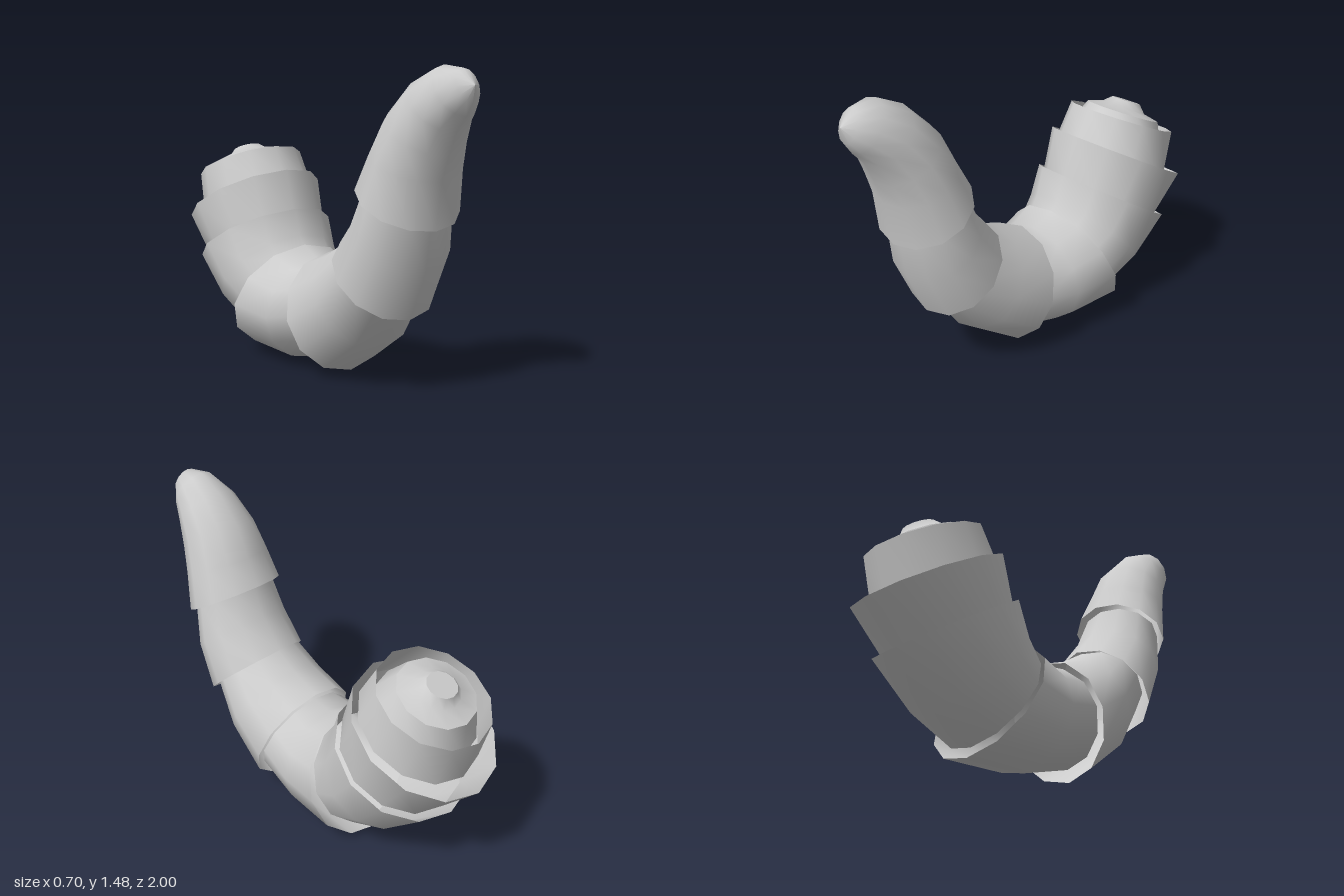
import * as THREE from 'three';

const SIDES = 12;

// Smooth skin through elliptical rings. Each ring is
// [outer z, outer y, inner z, inner y, half width], ordered from tail to head.
function loft(name, rings) {
  const pos = [], index = [];
  for (const [oz, oy, iz, iy, w] of rings) {
    for (let j = 0; j < SIDES; j++) {
      const t = (j / SIDES) * Math.PI * 2, c = Math.cos(t) / 2;
      pos.push(w * Math.sin(t), (oy + iy) / 2 + (oy - iy) * c, (oz + iz) / 2 + (oz - iz) * c);
    }
  }
  for (let i = 0; i < rings.length - 1; i++) {
    for (let j = 0; j < SIDES; j++) {
      const k = (j + 1) % SIDES;
      const a = i * SIDES + j, b = i * SIDES + k;
      index.push(a, b, a + SIDES, b, b + SIDES, a + SIDES);
    }
  }
  const geo = new THREE.BufferGeometry();
  geo.setAttribute('position', new THREE.Float32BufferAttribute(pos, 3));
  geo.setIndex(index);
  geo.computeVertexNormals();
  const mesh = new THREE.Mesh(geo, new THREE.MeshStandardMaterial({ color: 0xcccccc, side: THREE.DoubleSide }));
  mesh.name = name;
  return mesh;
}

export function createModel() {
  const model = new THREE.Group();
  model.name = 'segmentedHorn';

  // Rounded head, closed at the tip
  model.add(loft('head', [
    [0.79, 0.79, 0.42, 1.0, 0.25],
    [0.82, 1.0, 0.49, 1.13, 0.22],
    [0.86, 1.11, 0.56, 1.28, 0.19],
    [0.9, 1.21, 0.69, 1.41, 0.155],
    [0.955, 1.275, 0.82, 1.475, 0.11],
    [0.99, 1.33, 0.93, 1.465, 0.06],
    [1.0, 1.4, 1.0, 1.4, 0],
  ]));

  // Overlapping collars from head to tail: flared rim first, tucked end last
  const collars = [
    [[0.63, 0.37, 0.27, 0.7, 0.26], [0.73, 0.6, 0.39, 0.84, 0.245], [0.76, 0.82, 0.46, 0.99, 0.215]],
    [[0.2, 0.02, 0.01, 0.56, 0.3], [0.44, 0.2, 0.17, 0.62, 0.275], [0.59, 0.43, 0.3, 0.7, 0.235]],
    [[-0.43, 0, -0.2, 0.56, 0.34], [-0.09, 0.005, -0.08, 0.51, 0.3], [0.19, 0.08, 0.02, 0.53, 0.265]],
    [[-0.865, 0.36, -0.28, 0.73, 0.35], [-0.64, 0.165, -0.24, 0.6, 0.325], [-0.41, 0.05, -0.18, 0.53, 0.29]],
    [[-1.0, 0.555, -0.36, 0.92, 0.345], [-0.82, 0.37, -0.29, 0.69, 0.31]],
    [[-0.97, 0.805, -0.47, 1.03, 0.27], [-0.91, 0.59, -0.38, 0.88, 0.29]],
    [[-0.9, 0.865, -0.56, 1.02, 0.19], [-0.9, 0.7, -0.45, 0.92, 0.25]],
  ];
  collars.forEach((rings, i) => model.add(loft('collar' + (i + 1), rings)));

  // Stepped plug closing the tail
  model.add(loft('tailPlug', [
    [-0.82, 0.965, -0.69, 1.025, 0.075],
    [-0.83, 0.915, -0.64, 1.01, 0.115],
    [-0.9, 0.865, -0.56, 1.02, 0.19],
  ]));
  model.add(loft('tailDisc', [
    [-0.755, 0.995, -0.755, 0.995, 0],
    [-0.82, 0.965, -0.69, 1.025, 0.075],
  ]));
  return model;
}
